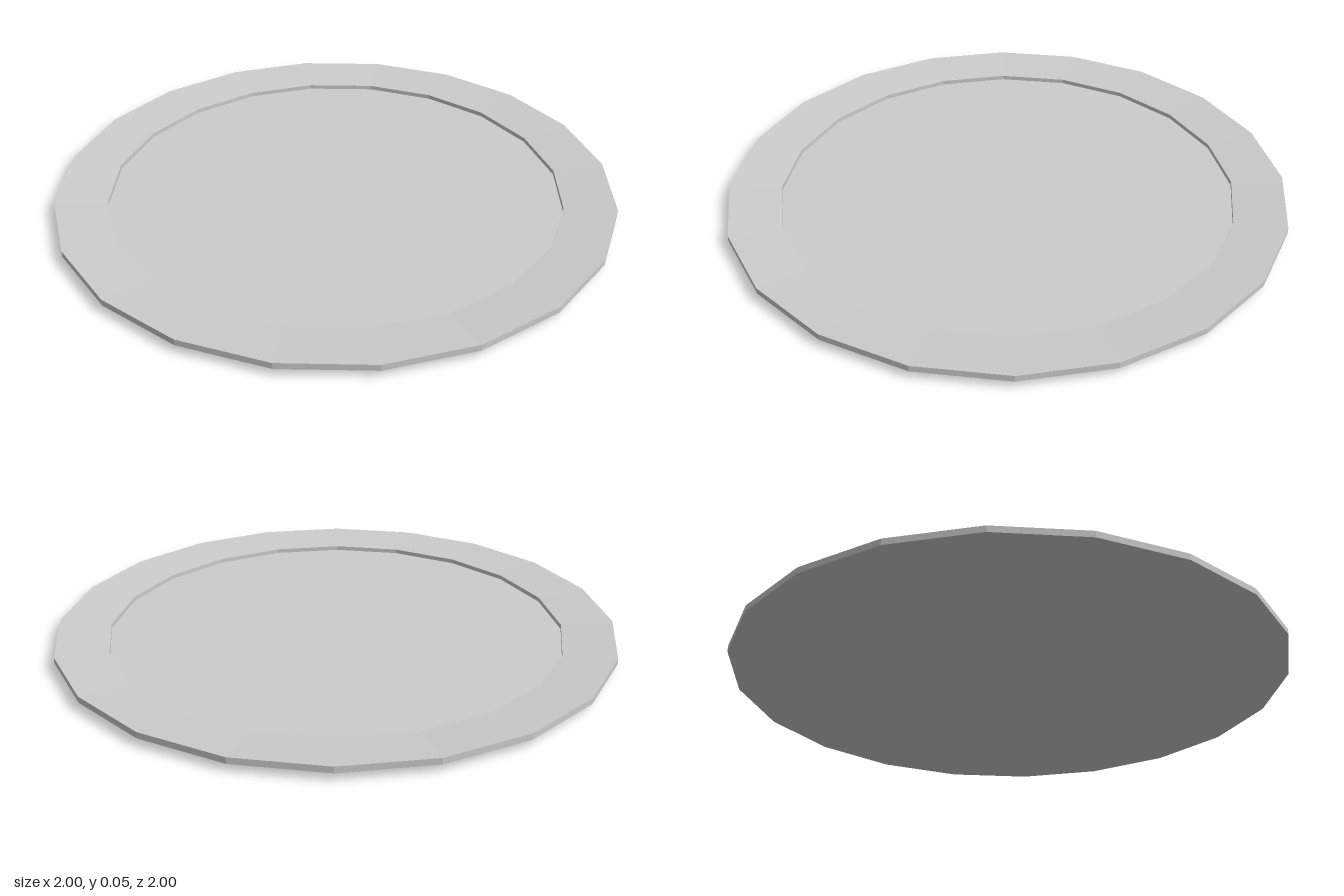
import * as THREE from 'three';

export function createModel() {
  const group = new THREE.Group();
  group.name = 'plate';

  // Cross-section from the underside centre, around the rim, to the floor centre
  const profile = [
    [0, 0], [0.815, 0],         // flat base
    [1, 0.027], [1, 0.049],     // flared underside and outer edge
    [0.815, 0.034],             // rim sloping inward
    [0.815, 0.018], [0, 0.018], // recess wall and floor
  ].map(([x, y]) => new THREE.Vector2(x, y));

  const material = new THREE.MeshStandardMaterial({ color: 0xcccccc, flatShading: true });
  const dish = new THREE.Mesh(new THREE.LatheGeometry(profile, 20), material);
  dish.name = 'dish';
  group.add(dish);
  return group;
}
